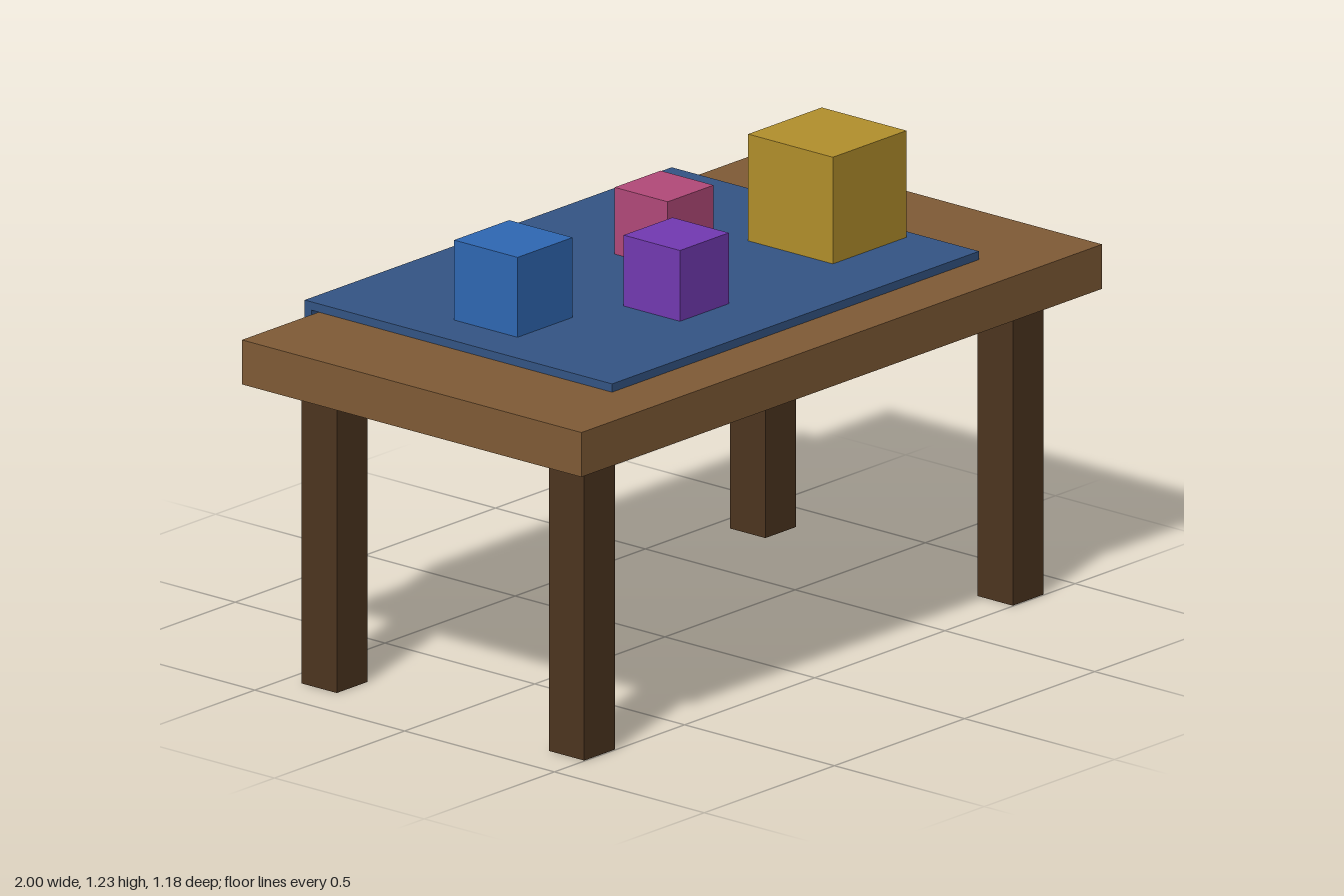
import * as THREE from 'three';

export function createModel() {
  const model = new THREE.Group();
  model.name = 'tableWithBlocks';

  const paint = (color) => new THREE.MeshStandardMaterial({ color });
  const wood = paint(0x805b36);
  const darkWood = paint(0x4d3520);
  const cloth = paint(0x345585);

  // Box given by its extents along each axis
  function box(name, material, [x0, x1], [y0, y1], [z0, z1], parent = model) {
    const mesh = new THREE.Mesh(new THREE.BoxGeometry(x1 - x0, y1 - y0, z1 - z0), material);
    mesh.position.set((x0 + x1) / 2, (y0 + y1) / 2, (z0 + z1) / 2);
    mesh.name = name;
    parent.add(mesh);
  }

  // Table: slab top on four square legs
  const table = new THREE.Group();
  table.name = 'table';
  model.add(table);
  box('tableTop', wood, [-1, 1], [0.802, 0.92], [-0.543, 0.59], table);
  for (const [end, z] of [['front', 0.438], ['back', -0.388]]) {
    for (const [side, x] of [['Left', 0.823], ['Right', -0.823]]) {
      box(end + side + 'Leg', darkWood, [x - 0.059, x + 0.059], [0, 0.802], [z - 0.059, z + 0.059], table);
    }
  }

  // Cloth: flat sheet with a flap hanging behind the back edge
  const cover = new THREE.Group();
  cover.name = 'cloth';
  model.add(cover);
  box('clothSheet', cloth, [-0.705, 0.705], [0.92, 0.942], [-0.59, 0.436], cover);
  box('clothFlap', cloth, [-0.705, 0.705], [0.65, 0.92], [-0.59, -0.567], cover);

  // Cubes resting on the cloth: name, colour, size, centre x, centre z
  const cubes = [
    ['blueCube', 0x2f68b4, 0.212, -0.473, -0.095],
    ['purpleCube', 0x733ab3, 0.188, -0.12, 0.142],
    ['pinkCube', 0xb34a7a, 0.177, 0.174, -0.154],
    ['goldCube', 0xb3902c, 0.283, 0.528, 0.083],
  ];
  for (const [name, color, s, x, z] of cubes) {
    box(name, paint(color), [x - s / 2, x + s / 2], [0.942, 0.942 + s], [z - s / 2, z + s / 2]);
  }

  return model;
}
